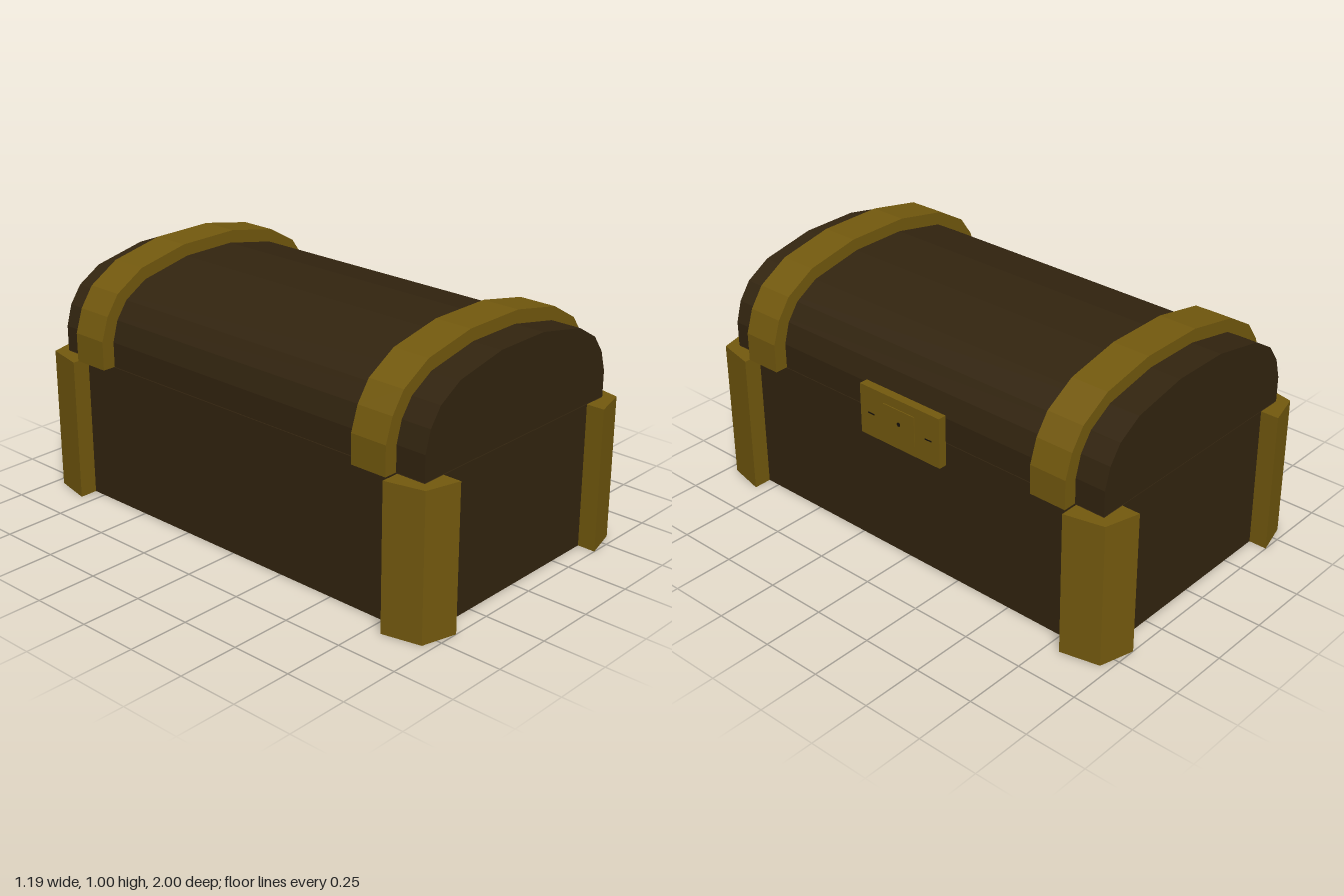
import * as THREE from 'three';

const wood = new THREE.MeshStandardMaterial({ color: 0x32240f });
wood.name = 'dark wood';
const brass = new THREE.MeshStandardMaterial({ color: 0x73590e });
brass.name = 'aged brass';
const black = new THREE.MeshStandardMaterial({ color: 0x15100a });
black.name = 'keyhole black';

const SEAM = 0.585; // height where the lid meets the body

// Right halves of the lid and strap arches, from the seam to the crown
const lidHalf = [[0.52, SEAM + 0.003], [0.52, 0.69], [0.495, 0.775], [0.445, 0.845], [0.345, 0.905], [0.12, 0.95]];
const strapHalf = [[0.575, SEAM + 0.003], [0.575, 0.705], [0.543, 0.8], [0.487, 0.88], [0.36, 0.955], [0.135, 1]];

const arch = (half) => [...half, ...half.map(([x, y]) => [-x, y]).reverse()];

function extrude(points, depth) {
  const shape = new THREE.Shape(points.map(([x, y]) => new THREE.Vector2(x, y)));
  return new THREE.ExtrudeGeometry(shape, { depth, bevelEnabled: false });
}

export function createModel() {
  const model = new THREE.Group();
  model.name = 'treasureChest';

  const add = (name, geometry, material, parent = model) => {
    const mesh = new THREE.Mesh(geometry, material);
    mesh.name = name;
    parent.add(mesh);
    return mesh;
  };
  const addBox = (name, size, position, material, parent) =>
    add(name, new THREE.BoxGeometry(...size), material, parent).position.set(...position);

  // Body and arched lid
  addBox('body', [1.04, SEAM, 1.85], [0, SEAM / 2, 0], wood);
  add('lid', extrude(arch(lidHalf), 1.85).translate(0, 0, -0.925), wood);

  // Straps over the lid
  const strapRing = [...arch(strapHalf), ...arch(lidHalf).reverse()];
  for (const side of [1, -1]) {
    add(side > 0 ? 'frontStrap' : 'backStrap',
      extrude(strapRing, 0.155).translate(0, 0, side * 0.7225 - 0.0775), brass);
  }

  // Bent corner guards: outline in plan, raised to the seam
  const guard = [[0.42, 1], [0.56, 0.962], [0.595, 0.805], [0.52, 0.805], [0.52, 0.925], [0.42, 0.925]];
  for (const sx of [1, -1]) {
    for (const sz of [1, -1]) {
      const outline = guard.map(([x, z]) => [x * sx, -z * sz]);
      const geometry = extrude(outline, SEAM).rotateX(-Math.PI / 2);
      add((sz > 0 ? 'front' : 'back') + (sx > 0 ? 'Left' : 'Right') + 'CornerGuard', geometry, brass);
    }
  }

  // Lock on the long side
  const lock = new THREE.Group();
  lock.name = 'lock';
  model.add(lock);
  addBox('lockPlate', [0.036, 0.208, 0.4], [0.536, 0.595, 0], brass, lock);
  addBox('lockCover', [0.005, 0.124, 0.156], [0.5555, 0.598, 0], brass, lock);
  const keyhole = add('keyhole', new THREE.CylinderGeometry(0.009, 0.009, 0.002, 6), black, lock);
  keyhole.rotation.z = Math.PI / 2;
  keyhole.position.set(0.558, 0.6, 0);
  for (const side of [1, -1]) {
    addBox('lockSlot', [0.002, 0.005, 0.032], [0.5545, 0.59, side * 0.145], black, lock);
  }

  return model;
}
